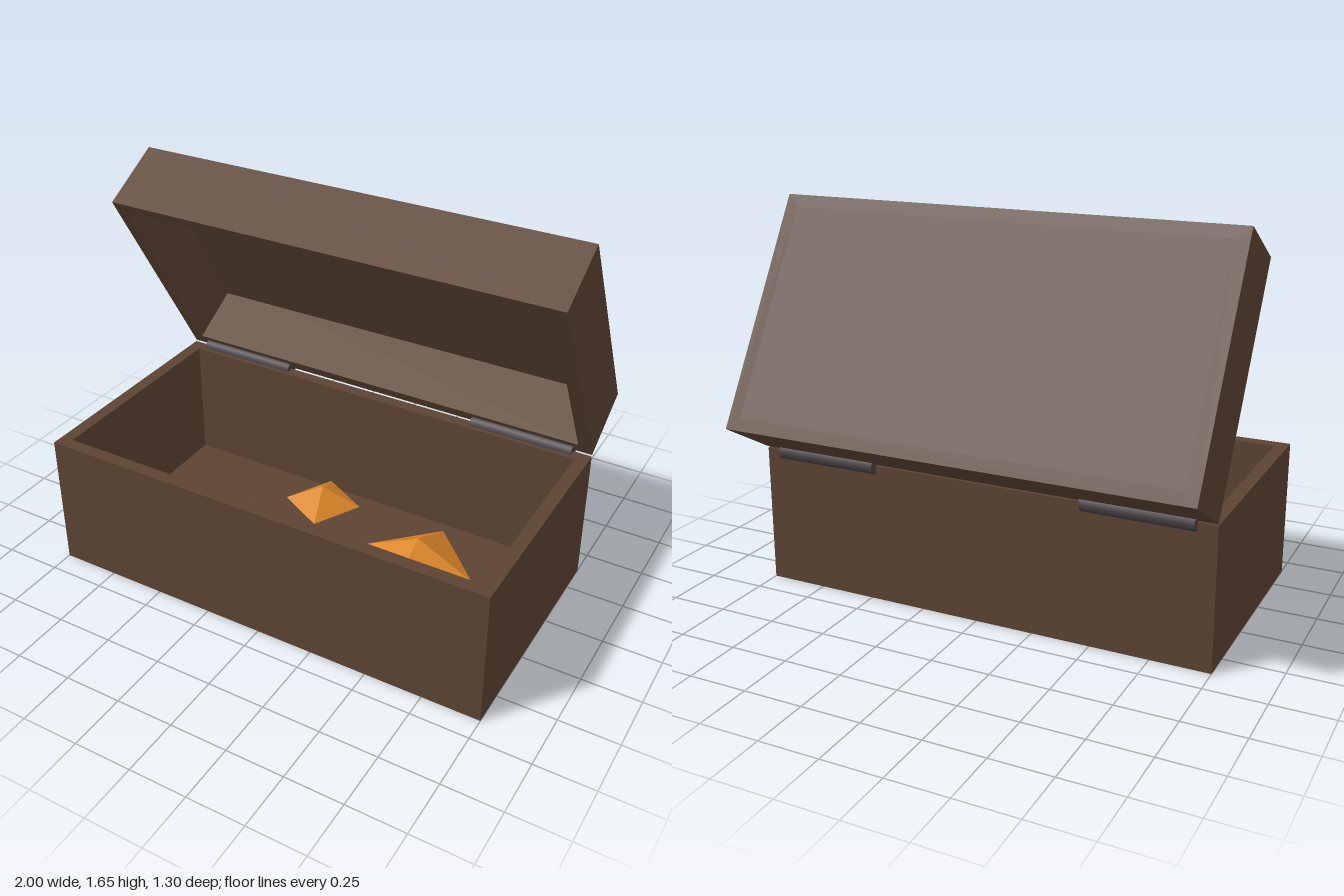
import * as THREE from 'three';

const W = 2, D = 1.03, WALL = 0.055;

const wood = new THREE.MeshStandardMaterial({ color: 0x5c4433 });
const iron = new THREE.MeshStandardMaterial({ color: 0x4a4347 });
const amber = new THREE.MeshStandardMaterial({ color: 0xdb8628, flatShading: true });

function rectangle(PathType, w, d) {
  const p = new PathType();
  p.moveTo(-w / 2, -d / 2);
  p.lineTo(w / 2, -d / 2);
  p.lineTo(w / 2, d / 2);
  p.lineTo(-w / 2, d / 2);
  p.closePath();
  return p;
}

function addMesh(parent, name, geometry, material, x = 0, y = 0, z = 0) {
  const mesh = new THREE.Mesh(geometry, material);
  mesh.name = name;
  mesh.position.set(x, y, z);
  parent.add(mesh);
  return mesh;
}

// Open tray: a ring of walls with a panel closing its lower end
function tray(name, height) {
  const group = new THREE.Group();
  group.name = name;
  const outline = rectangle(THREE.Shape, W, D);
  outline.holes.push(rectangle(THREE.Path, W - 2 * WALL, D - 2 * WALL));
  const walls = new THREE.ExtrudeGeometry(outline, { depth: height, bevelEnabled: false });
  walls.rotateX(-Math.PI / 2);
  addMesh(group, name + 'Walls', walls, wood);
  const panel = new THREE.BoxGeometry(W - 2 * WALL, 0.05, D - 2 * WALL);
  addMesh(group, name + 'Panel', panel, wood, 0, 0.025, 0);
  return group;
}

export function createModel() {
  const chest = new THREE.Group();
  chest.name = 'chest';

  // Base
  const base = tray('base', 0.6);
  base.position.z = 0.135;
  chest.add(base);

  // Lid: an upturned tray swung open about the back edge
  const lid = new THREE.Group();
  lid.name = 'lid';
  const lidTray = tray('lidTray', 0.31);
  lidTray.rotation.x = Math.PI;
  lidTray.position.set(0, 0.31, D / 2);
  lid.add(lidTray);
  lid.position.set(0, 0.607, -0.382);
  lid.rotation.x = -Math.PI / 3;
  chest.add(lid);

  // Hinge barrels
  for (const side of [-1, 1]) {
    const barrel = new THREE.CylinderGeometry(0.035, 0.035, 0.46, 16);
    barrel.rotateZ(Math.PI / 2);
    addMesh(chest, side > 0 ? 'leftHinge' : 'rightHinge', barrel, iron, side * 0.69, 0.6, -0.38);
  }

  // Gems lying on the floor: x, z, radius, turn
  const gems = [
    [-0.74, 0.38, 0.19, 0.51],
    [-0.42, 0.23, 0.167, 0],
    [0.03, 0.263, 0.128, 0.5],
    [0.46, 0.12, 0.25, 0],
    [-0.13, -0.1, 0.17, 0.3],
  ];
  for (const [x, z, r, turn] of gems) {
    const gem = addMesh(chest, 'gem', new THREE.OctahedronGeometry(r), amber, x, 0.05 + r / 2, z);
    gem.scale.y = 0.5;
    gem.rotation.y = turn;
  }

  return chest;
}
